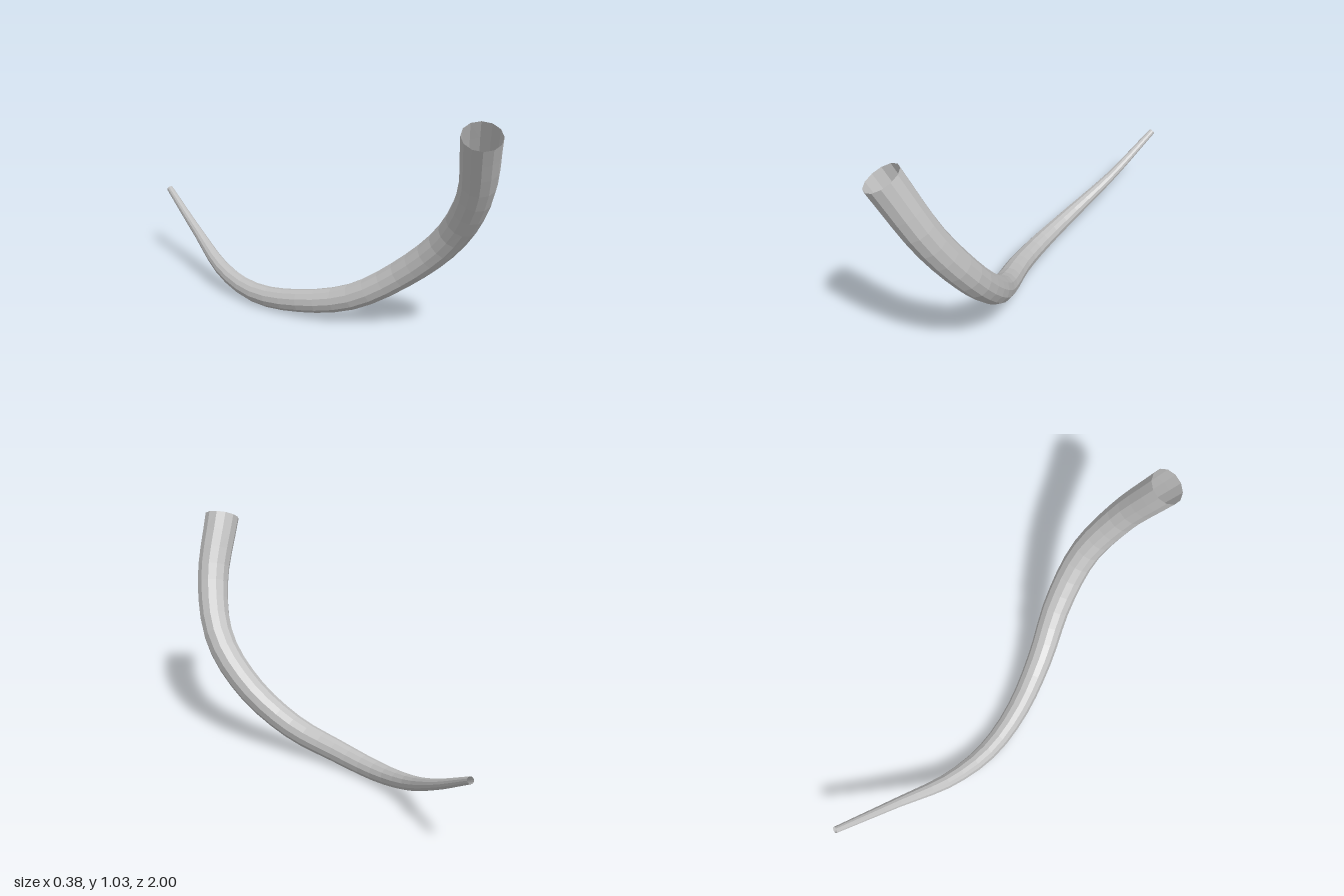
import * as THREE from 'three';

// Centreline from the wide mouth to the thin tip: x, y, z, radius
const PATH = [
  [-0.12, 0.99, 0.92, 0.082],
  [0.012, 0.71, 0.83, 0.074],
  [0.094, 0.47, 0.675, 0.068],
  [0.08, 0.277, 0.473, 0.064],
  [0.008, 0.13, 0.248, 0.058],
  [-0.052, 0.067, 0, 0.051],
  [-0.065, 0.048, -0.235, 0.045],
  [-0.024, 0.088, -0.46, 0.036],
  [0.075, 0.2, -0.72, 0.023],
  [0.172, 0.345, -0.992, 0.015],
];
const RINGS = 30;
const SIDES = 12;

// Radius at a fractional index along the path
function radiusAt(f) {
  const i = Math.min(Math.floor(f), PATH.length - 2);
  return THREE.MathUtils.lerp(PATH[i][3], PATH[i + 1][3], f - i);
}

// Open tube whose rings shrink toward the tip
function taperedTube() {
  const curve = new THREE.CatmullRomCurve3(PATH.map(([x, y, z]) => new THREE.Vector3(x, y, z)));
  const geometry = new THREE.TubeGeometry(curve, RINGS, 1, SIDES, false);
  const pos = geometry.attributes.position;
  const v = new THREE.Vector3();
  for (let ring = 0; ring <= RINGS; ring++) {
    const u = ring / RINGS;
    const centre = curve.getPointAt(u);
    const radius = radiusAt(curve.getUtoTmapping(u) * (PATH.length - 1));
    for (let s = 0; s <= SIDES; s++) {
      const k = ring * (SIDES + 1) + s;
      v.fromBufferAttribute(pos, k).sub(centre).multiplyScalar(radius).add(centre);
      pos.setXYZ(k, v.x, v.y, v.z);
    }
  }
  geometry.computeVertexNormals();
  return geometry;
}

export function createModel() {
  const group = new THREE.Group();
  group.name = 'curvedHorn';
  const grey = new THREE.MeshStandardMaterial({
    name: 'light grey', color: 0xc0c0c0, flatShading: true, side: THREE.DoubleSide,
  });
  const horn = new THREE.Mesh(taperedTube(), grey);
  horn.name = 'hornTube';
  group.add(horn);
  return group;
}
